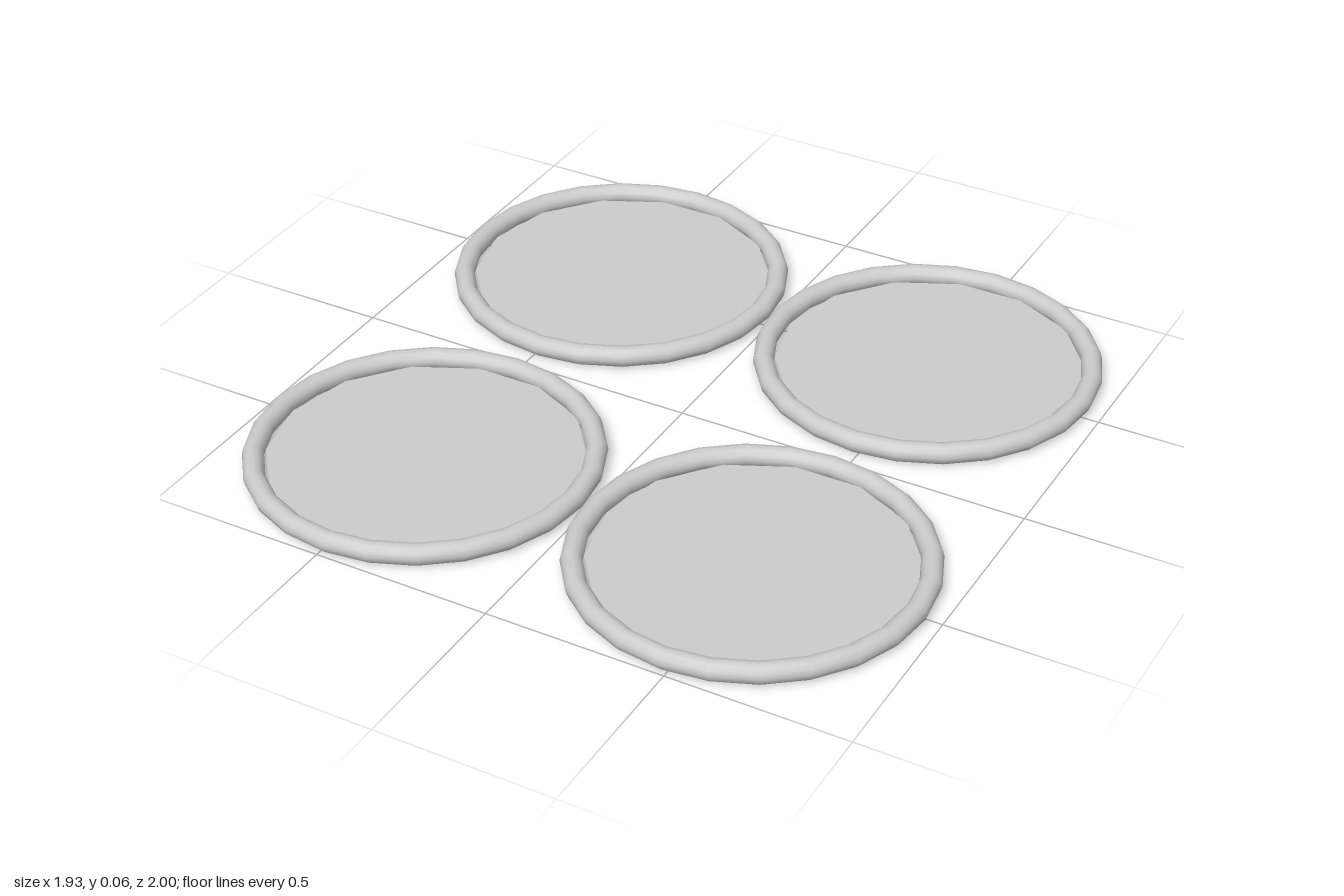
import * as THREE from 'three';

const TUBE = 0.029;          // rim thickness radius
const RING = 0.452;          // rim centre-line radius

export function createModel() {
  const group = new THREE.Group();
  group.name = 'coasterSet';
  const rimMaterial = new THREE.MeshStandardMaterial({ color: 0xcccccc });
  const discMaterial = new THREE.MeshStandardMaterial({ color: 0xcccccc, side: THREE.DoubleSide });

  // Round rim lying flat
  const rimGeometry = new THREE.TorusGeometry(RING, TUBE, 12, 24);
  rimGeometry.rotateX(-Math.PI / 2);

  // Thin 14-sided base, set slightly off centre inside the rim
  const discGeometry = new THREE.CircleGeometry(0.425, 14);
  discGeometry.rotateX(-Math.PI / 2);
  discGeometry.translate(0.01, 0, 0.01);

  // Two by two arrangement
  for (const [sx, xName] of [[1, 'Left'], [-1, 'Right']]) {
    for (const [sz, zName] of [[1, 'front'], [-1, 'back']]) {
      const coaster = new THREE.Group();
      coaster.name = `${zName}${xName}Coaster`;
      const rim = new THREE.Mesh(rimGeometry, rimMaterial);
      rim.name = 'rim';
      const disc = new THREE.Mesh(discGeometry, discMaterial);
      disc.name = 'base';
      coaster.add(rim, disc);
      coaster.position.set(sx * 0.485, TUBE, sz * 0.519);
      group.add(coaster);
    }
  }
  return group;
}
